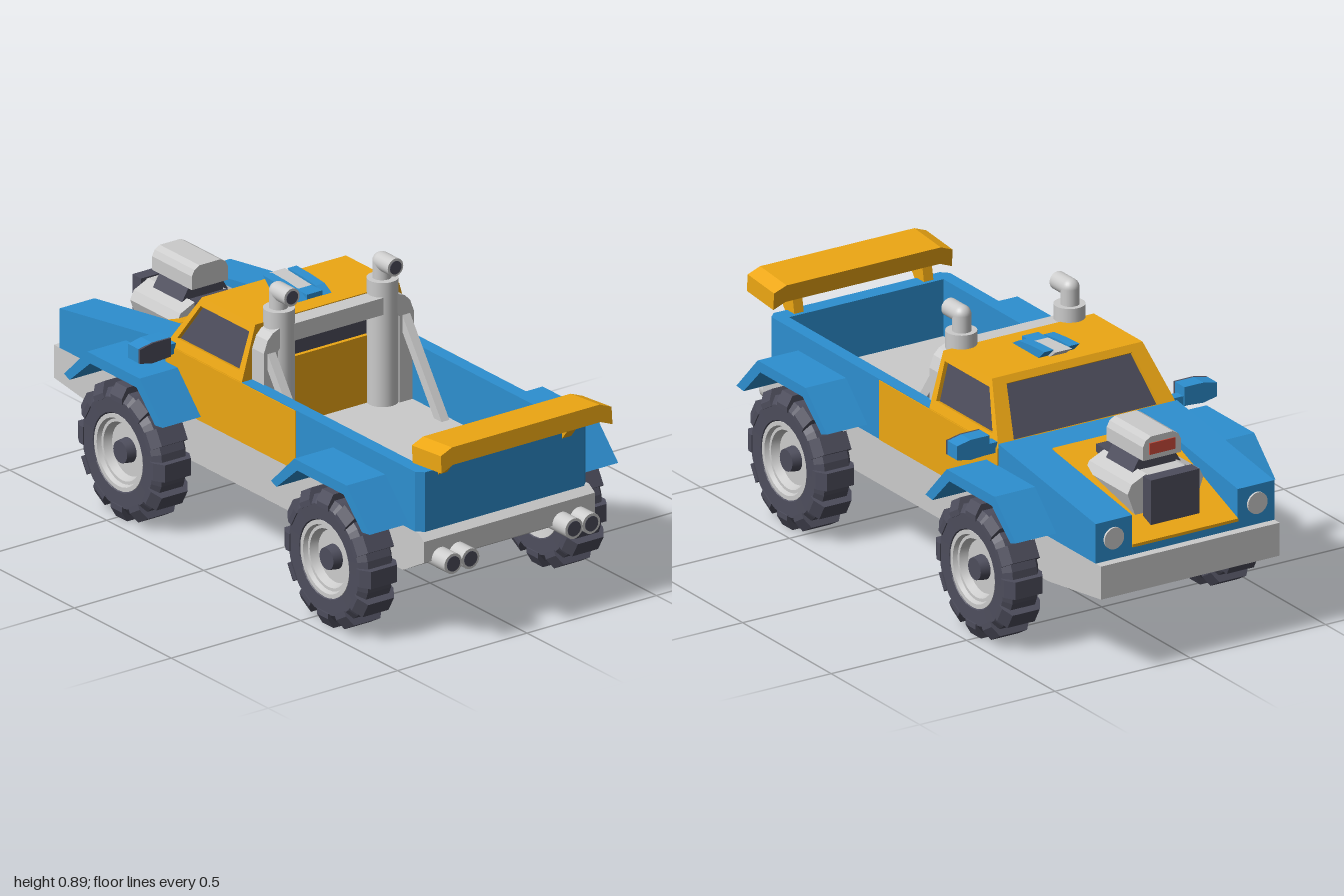
import * as THREE from 'three';
import { toCreasedNormals } from 'three/addons/utils/BufferGeometryUtils.js';

const mat = (color, extra = {}) => new THREE.MeshStandardMaterial({ color, ...extra });
const grey = mat(0xcccccc), blue = mat(0x2d8fd0), orange = mat(0xeda713), dark = mat(0x4d4d5c), red = mat(0xcc4a3a);
const rubber = mat(0x4d4d5c, { flatShading: true });
const orangeSheet = mat(0xeda713, { side: THREE.DoubleSide }), glass = mat(0x4d4d5c, { side: THREE.DoubleSide });

const add = (parent, name, geo, material) => {
  const m = new THREE.Mesh(geo, material);
  m.name = name;
  parent.add(m);
  return m;
};
const shape = (pts) => new THREE.Shape(pts.map(([a, b]) => new THREE.Vector2(a, b)));
const extrude = (pts, depth) => new THREE.ExtrudeGeometry(shape(pts), { depth, bevelEnabled: false });
// side profile [z, y] swept from x0 to x1
const sideSweep = (pts, x0, x1) => extrude(pts, x1 - x0).rotateY(-Math.PI / 2).translate(x1, 0, 0);
// outline [x, y] swept from z0 to z1
const frontSweep = (pts, z0, z1) => extrude(pts, z1 - z0).translate(0, 0, z0);
// plan outline [x, z] swept from y0 to y1
const planSweep = (pts, y0, y1) => extrude(pts, y1 - y0).rotateX(Math.PI / 2).translate(0, y1, 0);
const box = (x0, x1, y0, y1, z0, z1) => new THREE.BoxGeometry(x1 - x0, y1 - y0, z1 - z0)
  .translate((x0 + x1) / 2, (y0 + y1) / 2, (z0 + z1) / 2);
const rod = (r, y0, y1, x, z) => new THREE.CylinderGeometry(r, r, y1 - y0, 24).translate(x, (y0 + y1) / 2, z);
const rodZ = (r, x, y, z0, z1) => new THREE.CylinderGeometry(r, r, z1 - z0, 24)
  .rotateX(Math.PI / 2).translate(x, y, (z0 + z1) / 2);

function quads(list) {
  const pos = [];
  for (const [a, b, c, d] of list) for (const p of [a, b, c, a, c, d]) pos.push(p.x, p.y, p.z);
  const g = new THREE.BufferGeometry();
  g.setAttribute('position', new THREE.Float32BufferAttribute(pos, 3));
  g.computeVertexNormals();
  return g;
}

// four-cornered cab wall with a recessed window
function windowWall(parent, name, c, [u0, u1, v0, v1]) {
  const at = (u, v) => c[0].clone().lerp(c[1], u).lerp(c[3].clone().lerp(c[2], u), v);
  const inner = [at(u0, v0), at(u1, v0), at(u1, v1), at(u0, v1)];
  const n = c[1].clone().sub(c[0]).cross(c[3].clone().sub(c[0])).normalize();
  const pane = inner.map((p) => p.clone().addScaledVector(n, -0.014));
  const frame = [];
  for (let i = 0; i < 4; i++) {
    const j = (i + 1) % 4;
    frame.push([c[i], c[j], inner[j], inner[i]], [inner[i], inner[j], pane[j], pane[i]]);
  }
  add(parent, name + 'Frame', quads(frame), orangeSheet);
  add(parent, name + 'Glass', quads([pane]), glass);
}

function makeWheel() {
  const g = new THREE.Group();
  const lathe = (pts, n) => new THREE.LatheGeometry(pts.map(([r, y]) => new THREE.Vector2(r, y)), n).rotateZ(-Math.PI / 2);
  add(g, 'tire', lathe([[0.122, -0.05], [0.13, -0.064], [0.18, -0.066], [0.206, -0.045], [0.206, 0.045],
    [0.18, 0.066], [0.13, 0.064], [0.122, 0.05]], 24), rubber);
  // chunky tread blocks
  const block = [[-0.07, 0.172], [0.07, 0.172], [0.07, 0.19], [0.05, 0.224], [-0.05, 0.224], [-0.07, 0.19]];
  for (let i = 0; i < 12; i++) {
    add(g, 'treadBlock', frontSweep(block, -0.029, 0.029), rubber).rotation.x = (i / 12) * Math.PI * 2;
  }
  const rim = lathe([[0, -0.025], [0.085, -0.025], [0.1, -0.055], [0.126, -0.062], [0.126, 0.062],
    [0.112, 0.062], [0.106, 0.048], [0.096, 0.048], [0.086, 0.022], [0, 0.022]], 32);
  add(g, 'rim', toCreasedNormals(rim, 0.5), grey);
  add(g, 'hub', new THREE.CylinderGeometry(0.036, 0.052, 0.11, 20).rotateZ(-Math.PI / 2), dark);
  return g;
}

export function createModel() {
  const car = new THREE.Group();

  // chassis and bed floor
  add(car, 'chassis', sideSweep([[-1, 0.27], [-0.7, 0.23], [0.8, 0.23], [0.91, 0.29], [0.91, 0.36], [0.88, 0.38], [-1, 0.38]], -0.33, 0.33), grey);
  add(car, 'bedFloor', box(-0.285, 0.285, 0.37, 0.39, -0.03, 0.83), grey);

  // bed, hood and cab base
  add(car, 'tailgate', planSweep([[-0.33, 0.83], [0.33, 0.83], [0.33, 0.862], [0.307, 0.885], [-0.307, 0.885], [-0.33, 0.862]], 0.38, 0.58), blue);
  add(car, 'cabBase', box(-0.33, 0.33, 0.38, 0.58, -0.42, -0.03), orange);
  add(car, 'hood', sideSweep([[-0.42, 0.38], [-0.97, 0.38], [-0.97, 0.41], [-0.52, 0.577], [-0.42, 0.591]], -0.196, 0.196), blue);
  add(car, 'hoodPanel', sideSweep([[-0.973, 0.405], [-0.973, 0.415], [-0.52, 0.583], [-0.52, 0.57]], -0.195, 0.195), orange);

  // cab with windows and roof
  const V = (x, y, z) => new THREE.Vector3(x, y, z);
  const [fl, fr, bl, br] = [V(0.33, 0.58, -0.42), V(-0.33, 0.58, -0.42), V(0.33, 0.58, -0.03), V(-0.33, 0.58, -0.03)];
  const [tfl, tfr, tbl, tbr] = [V(0.278, 0.76, -0.305), V(-0.278, 0.76, -0.305), V(0.278, 0.76, -0.03), V(-0.278, 0.76, -0.03)];
  windowWall(car, 'windshield', [fl, fr, tfr, tfl], [0.09, 0.91, 0.06, 0.88]);
  windowWall(car, 'leftWindow', [bl, fl, tfl, tbl], [0.07, 0.93, 0.17, 0.85]);
  windowWall(car, 'rightWindow', [fr, br, tbr, tfr], [0.07, 0.93, 0.17, 0.85]);
  windowWall(car, 'rearWindow', [br, bl, tbl, tbr], [0.1, 0.9, 0.2, 0.82]);
  add(car, 'roof', quads([[tbr, tbl, tfl, tfr]]), orangeSheet);

  // roof scoop
  const scoop = [[-0.09, 0.758], [-0.24, 0.758], [-0.275, 0.79], [-0.2, 0.787], [-0.13, 0.78]];
  for (const s of [-1, 1]) add(car, 'roofScoopSide', sideSweep(scoop, s * 0.0475 - 0.0175, s * 0.0475 + 0.0175), blue);
  add(car, 'roofScoopBack', box(-0.03, 0.03, 0.758, 0.776, -0.15, -0.095), blue);
  add(car, 'roofScoopInsert', sideSweep([[-0.13, 0.758], [-0.25, 0.758], [-0.288, 0.786], [-0.15, 0.776]], -0.03, 0.03), grey);

  // roll bar
  const arch = [[0.29, 0.38], [0.29, 0.685], [0.275, 0.725], [0.255, 0.745], [0.225, 0.757]];
  const archInner = [[0.22, 0.7], [0.235, 0.68], [0.235, 0.38]];
  const flip = (pts) => pts.map(([x, y]) => [-x, y]).reverse();
  add(car, 'rollBar', frontSweep([...arch, ...flip(arch), ...flip(archInner), ...archInner.slice()], -0.03, 0.03), grey);

  // engine on the hood
  const engine = new THREE.Group();
  engine.name = 'engine';
  car.add(engine);
  add(engine, 'engineBlock', box(-0.07, 0.07, 0.43, 0.58, -0.88, -0.58), grey);
  add(engine, 'frontPulleys', box(-0.09, 0.09, 0.43, 0.585, -0.915, -0.87), dark);
  add(engine, 'rearCover', box(-0.07, 0.07, 0.53, 0.588, -0.645, -0.575), dark);
  add(engine, 'blower', frontSweep([[-0.09, 0.575], [0.09, 0.575], [0.06, 0.625], [-0.06, 0.625]], -0.81, -0.66), dark);
  const scoopOutline = [[-0.07, 0.62], [0.07, 0.62], [0.07, 0.665], [0.06, 0.685], [0.04, 0.696], [-0.04, 0.696], [-0.06, 0.685], [-0.07, 0.665]];
  add(engine, 'intakeScoop', frontSweep(scoopOutline, -0.84, -0.635), grey);
  add(engine, 'intakeOpening', box(-0.047, 0.047, 0.637, 0.675, -0.844, -0.82), red);

  // spoiler wing
  const wing = [[0.33, 0.615], [0.33, 0.672], [0.285, 0.69], [-0.285, 0.69], [-0.33, 0.672], [-0.33, 0.615], [-0.285, 0.633], [0.285, 0.633]];
  const spoiler = add(car, 'spoiler', frontSweep(wing, -0.075, 0.075).translate(0, -0.66, 0), orange);
  spoiler.position.set(0, 0.658, 0.922);
  spoiler.rotation.x = -0.09;

  const fender = [[0.255, -0.01], [0.135, 0.115], [-0.135, 0.115], [-0.255, 0], [-0.225, -0.01], [-0.12, 0.08], [0.12, 0.08], [0.215, -0.015]];
  for (const s of [1, -1]) {
    const mid = (a, b) => [Math.min(s * a, s * b), Math.max(s * a, s * b)];
    const side = s > 0 ? 'left' : 'right';

    // body sides
    add(car, side + 'BedWall', box(...mid(0.285, 0.33), 0.38, 0.58, -0.03, 0.832), blue);
    add(car, side + 'DoorPanel', box(...mid(0.32, 0.333), 0.38, 0.578, -0.42, 0.25), orange);
    add(car, side + 'HoodPod', sideSweep([[-0.42, 0.38], [-0.97, 0.38], [-0.97, 0.512], [-0.42, 0.592]], ...mid(0.195, 0.33)), blue);
    add(car, side + 'Headlight', rodZ(0.036, s * 0.265, 0.452, -0.977, -0.95), grey);

    // roll bar brace
    add(car, side + 'Brace', sideSweep([[0.24, 0.38], [0.02, 0.695], [0.02, 0.64], [0.2, 0.38]], ...mid(0.245, 0.275)), grey);

    // exhaust stack with elbow
    add(car, side + 'Stack', rod(0.05, 0.38, 0.806, s * 0.2, -0.012), grey);
    add(car, side + 'StackPipe', rod(0.03, 0.8, 0.86, s * 0.2, -0.015), grey);
    add(car, side + 'StackElbow', new THREE.SphereGeometry(0.03, 24, 16).translate(s * 0.2, 0.86, -0.015), grey);
    add(car, side + 'StackOutlet', rodZ(0.03, s * 0.2, 0.86, -0.015, 0.055), grey);
    add(car, side + 'StackBore', rodZ(0.022, s * 0.2, 0.86, 0.03, 0.057), dark);

    // twin tailpipes
    for (const x of [0.2, 0.267]) {
      add(car, side + 'Tailpipe', rodZ(0.034, s * x, 0.294, 0.85, 0.976), grey);
      add(car, side + 'TailpipeBore', rodZ(0.025, s * x, 0.294, 0.95, 0.978), dark);
    }

    // mirror
    add(car, side + 'MirrorArm', box(...mid(0.3, 0.37), 0.56, 0.595, -0.41, -0.375), blue);
    const mirror = [[s * 0.36, 0.565], [s * 0.36, 0.627], [s * 0.43, 0.627], [s * 0.48, 0.617], [s * 0.48, 0.57], [s * 0.43, 0.56]];
    add(car, side + 'Mirror', frontSweep(mirror, -0.417, -0.362), blue);
    add(car, side + 'MirrorGlass', frontSweep(mirror, -0.363, -0.355), dark);

    // wing bracket
    add(car, side + 'SpoilerBracket', sideSweep([[0.84, 0.56], [0.885, 0.56], [0.945, 0.635], [0.855, 0.64]], ...mid(0.222, 0.257)), orange);

    // valve cover, tilted outward
    const cover = add(engine, side + 'ValveCover', frontSweep([[s * 0.06, 0.46], [s * 0.11, 0.45], [s * 0.14, 0.53], [s * 0.125, 0.56], [s * 0.07, 0.585]], -0.86, -0.62), grey);
    cover.name = side + 'ValveCover';

    // fenders and wheels
    for (const [name, fz, wz] of [['rear', 0.575, 0.58], ['front', -0.4925, -0.484]]) {
      add(car, side + name + 'Fender', sideSweep(fender.map(([z, y]) => [z + fz, y + 0.405]), ...mid(0.325, 0.48)), blue);
      const wheel = makeWheel();
      wheel.name = side + name + 'Wheel';
      wheel.position.set(s * 0.405, 0.226, wz);
      if (s < 0) wheel.rotation.y = Math.PI;
      car.add(wheel);
    }
  }
  return car;
}
